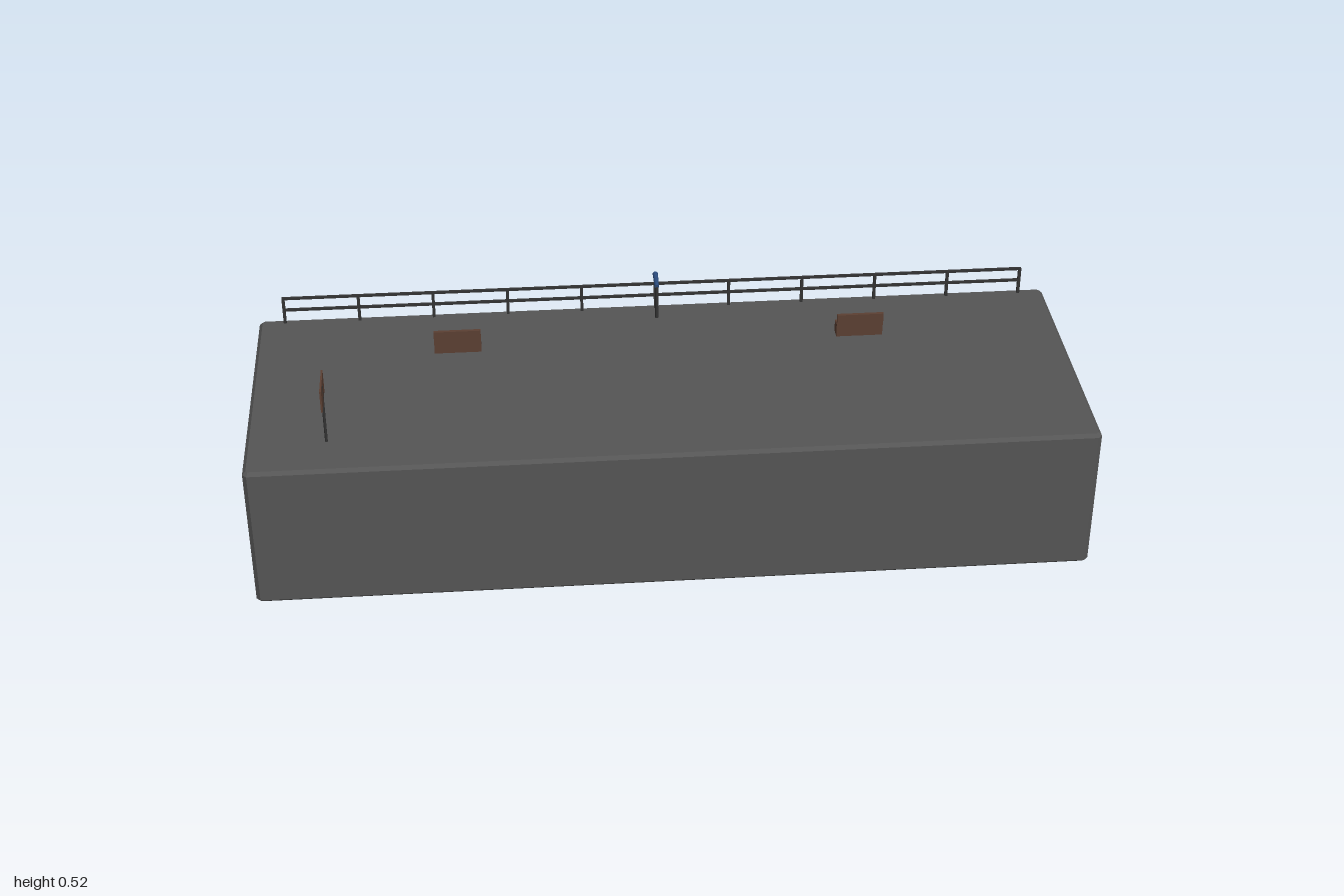
import * as THREE from 'three';

const mat = (name, color) => {
  const m = new THREE.MeshStandardMaterial({ color });
  m.name = name;
  return m;
};

export function createModel() {
  const stone = mat('stone grey', 0x555555);
  const metal = mat('dark metal', 0x333333);
  const wood = mat('brown wood', 0x5c4033);
  const blue = mat('blue paint', 0x2a4b7c);

  const model = new THREE.Group();
  model.name = 'viewingTerrace';
  model.rotation.y = -0.109; // the terrace stands slightly turned
  const root = new THREE.Group();
  root.add(model);

  const add = (parent, name, geometry, material, x, y, z) => {
    const mesh = new THREE.Mesh(geometry, material);
    mesh.name = name;
    mesh.position.set(x, y, z);
    parent.add(mesh);
    return mesh;
  };
  const group = (name) => {
    const g = new THREE.Group();
    g.name = name;
    model.add(g);
    return g;
  };
  const box = (w, h, d) => new THREE.BoxGeometry(w, h, d);
  const DECK = 0.361;

  // Platform: block with all edges chamfered
  const L = 1.94, W = 0.664, C = 0.008;
  const a = L / 2 - C, b = W / 2 - C, c = C * 0.6;
  const outline = new THREE.Shape([
    [a - c, -b], [a, -b + c], [a, b - c], [a - c, b],
    [-a + c, b], [-a, b - c], [-a, -b + c], [-a + c, -b],
  ].map(([x, y]) => new THREE.Vector2(x, y)));
  const block = new THREE.ExtrudeGeometry(outline, {
    depth: DECK - 2 * C, bevelEnabled: true, bevelThickness: C, bevelSize: C, bevelSegments: 1,
  });
  block.rotateX(-Math.PI / 2);
  add(model, 'platform', block, stone, 0, C, 0);

  // Railing along the back edge
  const railing = group('railing');
  const railZ = -0.315, half = 0.907, posts = 11;
  for (let i = 0; i < posts; i++) {
    const x = -half + (2 * half * i) / (posts - 1);
    add(railing, 'railingPost', box(0.007, 0.07, 0.007), metal, x, DECK + 0.034, railZ);
  }
  for (const y of [0.397, 0.429]) {
    add(railing, 'rail', box(2 * half + 0.006, 0.006, 0.006), metal, 0, y, railZ);
  }

  // Benches facing the railing
  for (const x of [-0.487, 0.482]) {
    const bench = group('bench');
    bench.position.set(x, DECK, -0.157);
    add(bench, 'benchSeat', box(0.112, 0.03, 0.03), wood, 0, 0.015, 0);
    add(bench, 'benchBack', box(0.112, 0.032, 0.008), wood, 0, 0.046, 0.0165);
  }

  // Sign on a pole
  const sign = group('sign');
  sign.position.set(-0.787, DECK, 0.214);
  add(sign, 'signPole', new THREE.CylinderGeometry(0.0032, 0.0032, 0.149, 8), metal, 0, 0.0745, 0);
  add(sign, 'signBoard', box(0.004, 0.055, 0.09), wood, 0, 0.134, 0);

  // Telescope pointing out over the railing
  const telescope = group('telescope');
  telescope.position.set(0, DECK, 0);
  add(telescope, 'telescopeStand', new THREE.CylinderGeometry(0.004, 0.004, 0.086, 8), metal, 0, 0.043, -0.267);
  const tube = add(telescope, 'telescopeTube', new THREE.CylinderGeometry(0.0065, 0.0055, 0.05, 12), blue, 0, 0.092, -0.29);
  tube.rotation.x = -Math.PI / 2 + 0.17;

  return root;
}
